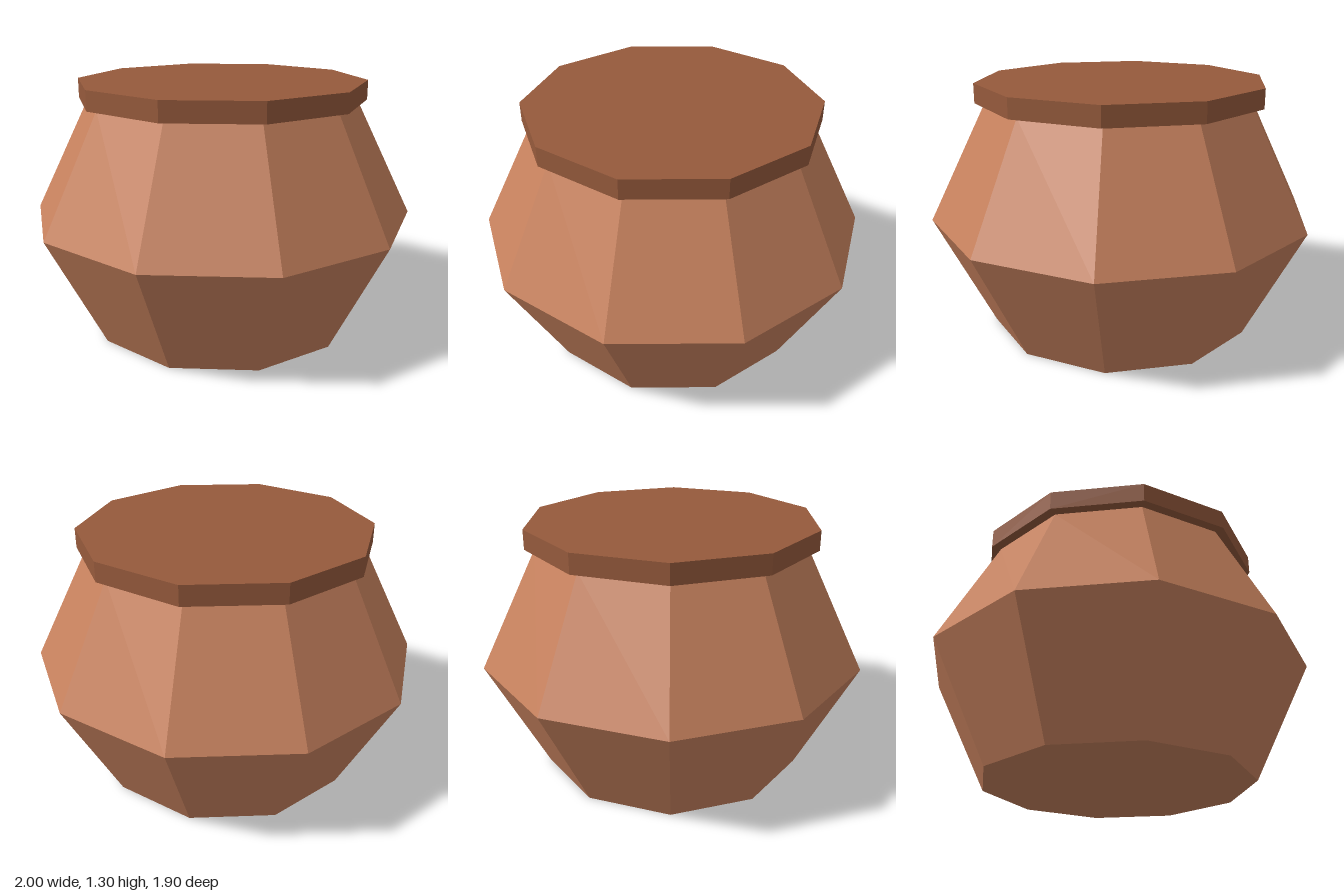
import * as THREE from 'three';

const SIDES = 10;

export function createModel() {
  const clay = new THREE.MeshStandardMaterial({ color: 0xc8825e, flatShading: true });
  clay.name = 'terracotta';
  const darkClay = new THREE.MeshStandardMaterial({ color: 0x965a3c, flatShading: true });
  darkClay.name = 'dark clay';

  const pot = new THREE.Group();
  pot.name = 'pot';

  // Ten-sided solid with a corner on the x axis
  const add = (name, geometry, material, y = 0) => {
    geometry.rotateY(Math.PI / 2);
    const mesh = new THREE.Mesh(geometry, material);
    mesh.name = name;
    mesh.position.y = y;
    pot.add(mesh);
  };

  // Closed base, widest at the belly, narrowing to the neck under the lid
  const profile = [[0, 0], [0.7, 0], [1, 0.6], [0.7, 1.2]].map(([r, y]) => new THREE.Vector2(r, y));
  add('body', new THREE.LatheGeometry(profile, SIDES), clay);

  // Overhanging flat lid
  add('lid', new THREE.CylinderGeometry(0.75, 0.75, 0.1, SIDES), darkClay, 1.25);

  return pot;
}
